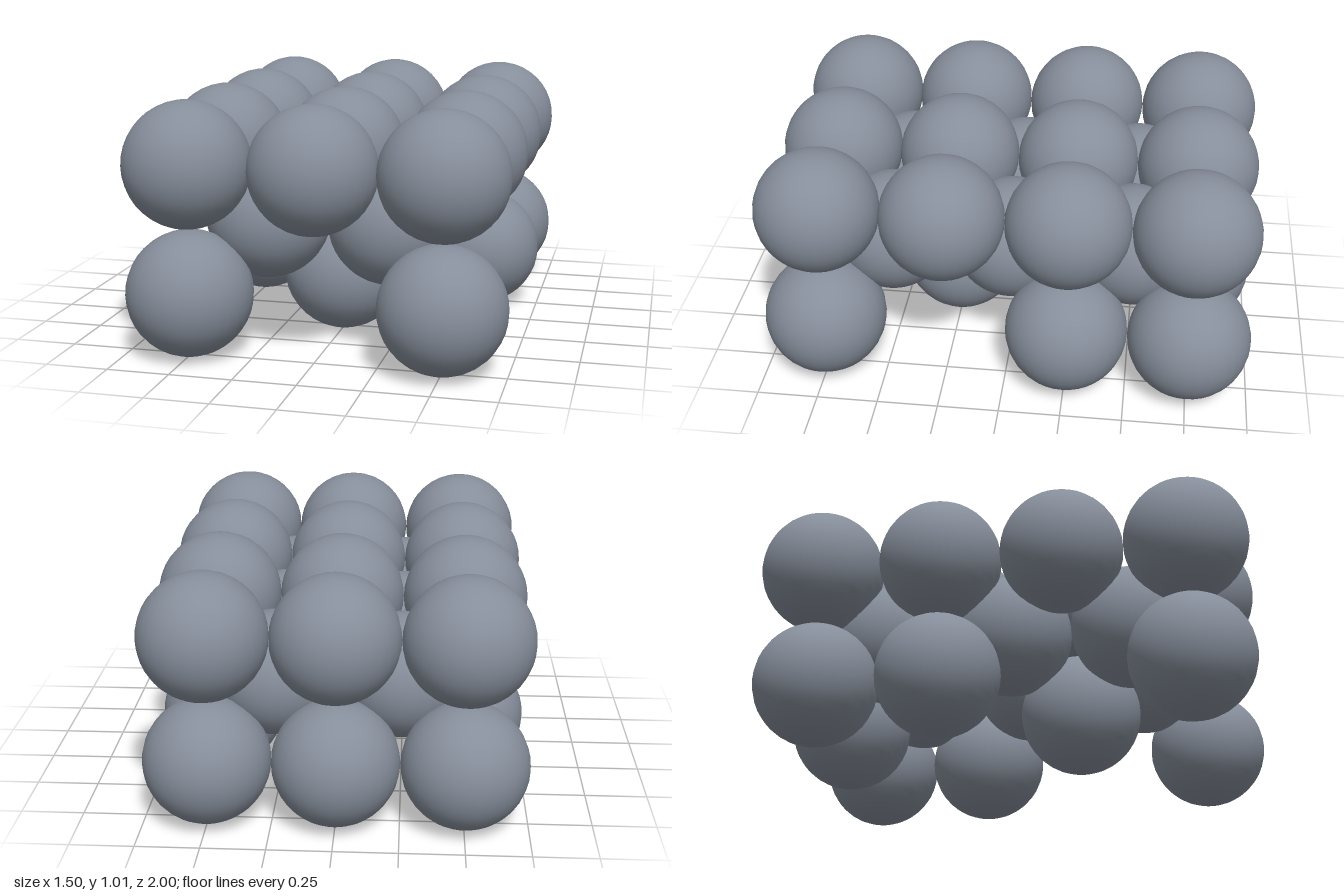
import * as THREE from 'three';

export function createModel() {
  const model = new THREE.Group();
  model.name = 'sphereStack';
  const slate = new THREE.MeshStandardMaterial({ color: 0x868e9b });
  slate.name = 'slateGrey';
  const ball = new THREE.SphereGeometry(0.25, 32, 20);

  // One layer of balls at height y, from [x, z] positions
  function addLayer(name, y, positions) {
    const layer = new THREE.Group();
    layer.name = name;
    positions.forEach(([x, z], i) => {
      const mesh = new THREE.Mesh(ball, slate);
      mesh.name = `${name}Ball${i + 1}`;
      mesh.position.set(x, y, z);
      layer.add(mesh);
    });
    model.add(layer);
  }

  // Every pairing of the given x and z values
  const grid = (xs, zs) => xs.flatMap((x) => zs.map((z) => [x, z]));

  // Full top layer
  addLayer('topLayer', 0.76, grid([-0.5, 0, 0.5], [-0.75, -0.25, 0.25, 0.75]));

  // Middle layer nested in the hollows
  addLayer('middleLayer', 0.52, grid([-0.25, 0.25], [-0.5, 0, 0.5]));

  // Sparse bottom layer
  addLayer('bottomLayer', 0.25, [
    ...grid([-0.5, 0.5], [-0.75, -0.25, 0.75]),
    [0, -0.75],
    [0, 0.25],
  ]);

  return model;
}
